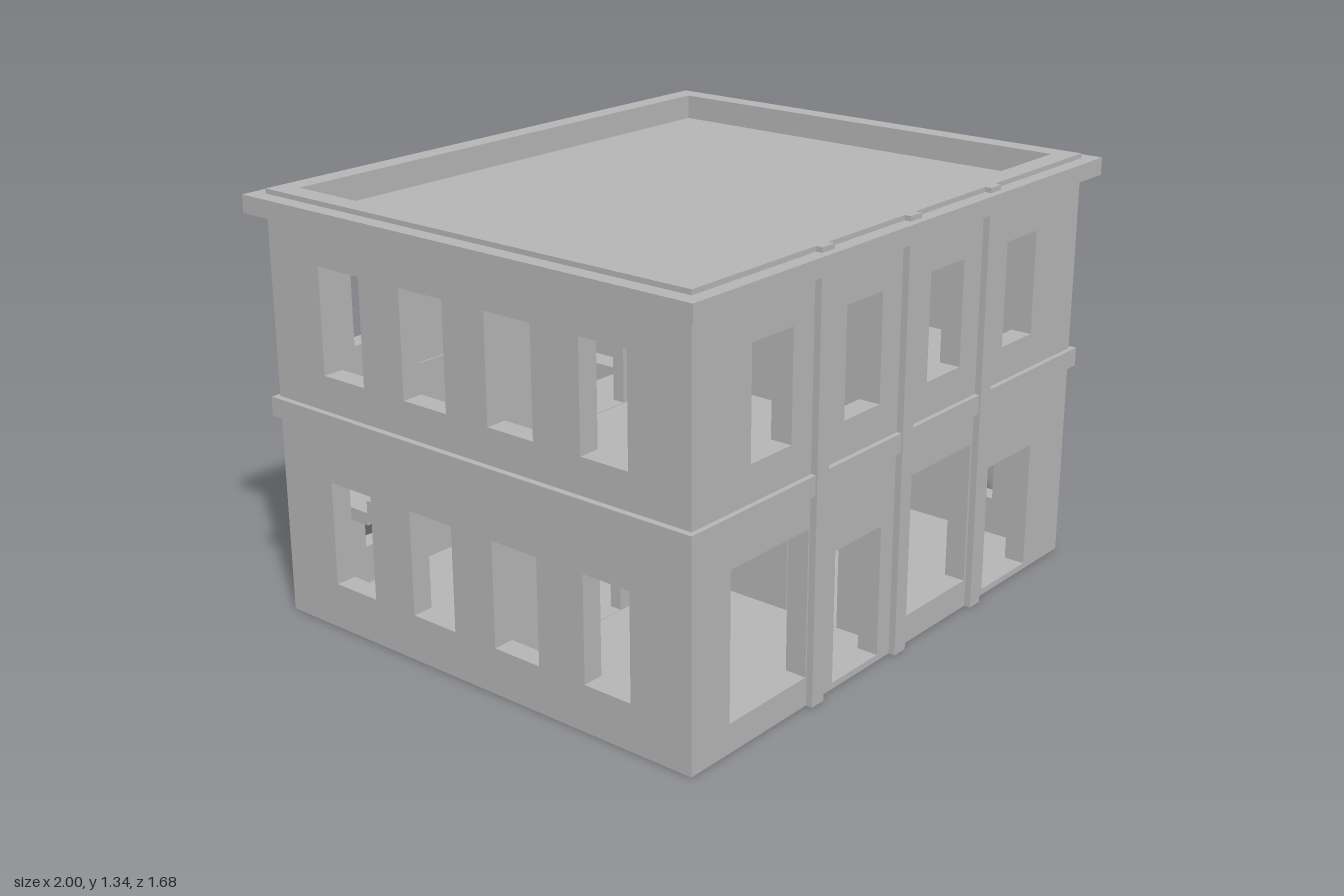
import * as THREE from 'three';

export function createModel() {
  const group = new THREE.Group();
  const plaster = new THREE.MeshStandardMaterial({ color: 0xb4b4b4 });
  plaster.name = 'plaster grey';

  const W = 0.95, D = 0.795, T = 0.068, TOP = 1.335; // half width, half depth, wall thickness, height
  const IX = W - T, IZ = D - T;
  const FLOOR = 0.02, UPPER = 0.69;

  const add = (name, geo, x = 0, y = 0, z = 0) => {
    const mesh = new THREE.Mesh(geo, plaster);
    mesh.name = name;
    mesh.position.set(x, y, z);
    group.add(mesh);
    return mesh;
  };
  // box given by its limits
  const block = (name, x0, x1, y0, y1, z0, z1) =>
    add(name, new THREE.BoxGeometry(x1 - x0, y1 - y0, z1 - z0), (x0 + x1) / 2, (y0 + y1) / 2, (z0 + z1) / 2);
  const trace = (path, [a, b, c, d]) => {
    path.moveTo(a, c); path.lineTo(b, c); path.lineTo(b, d); path.lineTo(a, d); path.closePath();
    return path;
  };
  // rectangle [u0, u1, v0, v1] with rectangular holes, extruded
  const panel = (outline, holes, depth) => {
    const shape = trace(new THREE.Shape(), outline);
    holes.forEach(h => shape.holes.push(trace(new THREE.Path(), h)));
    return new THREE.ExtrudeGeometry(shape, { depth, bevelEnabled: false });
  };
  const sideways = geo => geo.rotateY(-Math.PI / 2);              // u runs along z, depth along -x
  const flat = geo => geo.rotateX(Math.PI / 2);                   // v runs along z, depth along -y

  // outer walls with window and door openings
  const low = [0.145, 0.475], high = [0.81, 1.14], door = [FLOOR, 0.43];
  const bays = [[-0.71, -0.535], [-0.295, -0.125], [0.115, 0.29], [0.53, 0.70]];
  const upperWindows = bays.map(b => [...b, ...high]);
  const shopFront = [
    [-0.79, -0.45, 0.09, 0.54], [-0.32, -0.095, ...door],
    [0.03, 0.375, 0.09, 0.54], [0.485, 0.74, ...door],
  ];
  const backGround = [...bays.slice(0, 3).map(b => [...b, ...low]), [0.515, 0.72, ...door]];
  add('frontWall', panel([-W, W, 0, TOP], [...shopFront, ...upperWindows], T), 0, 0, IZ);
  add('backWall', panel([-W, W, 0, TOP], [...backGround, ...upperWindows], T), 0, 0, -D);

  const sideBays = [[-0.585, -0.415], [-0.25, -0.08], [0.08, 0.25], [0.42, 0.585]];
  const sideHoles = sideBays.flatMap(b => [[...b, ...low], [...b, ...high]]);
  for (const [name, x] of [['leftWall', W], ['rightWall', -IX]])
    add(name, sideways(panel([-IZ, IZ, 0, TOP], sideHoles, T)), x);

  // floors and sunken roof
  block('groundSlab', -IX, IX, 0, FLOOR, -IZ, IZ);
  const stairwell = [-0.875, -0.1, -0.72, -0.18];
  add('upperFloor', flat(panel([-IX, IX, -IZ, IZ], [stairwell], 0.05)), 0, UPPER, 0);
  block('roofDeck', -IX, IX, 1.2, 1.255, -IZ, IZ);

  // cornice and storey band wrapped round the walls
  const ring = (name, x, z, y0, y1) =>
    add(name, flat(panel([-x, x, -z, z], [[-W, W, -D, D]], y1 - y0)), 0, y1, 0);
  ring('cornice', 1, 0.84, 1.265, 1.32);
  ring('storeyBand', 0.97, 0.811, 0.64, 0.70);

  // front pilasters
  for (const x of [-0.417, -0.005, 0.412])
    block('pilaster', x - 0.027, x + 0.027, 0, TOP, D - 0.01, 0.816);

  // inner partitions with doorways on each storey
  for (const [y0, y1, doors] of [
    [FLOOR, UPPER - 0.05, [[-0.535, -0.35], [0.07, 0.26]]],
    [UPPER, 1.2, [[-0.51, -0.325], [0.11, 0.295], [0.545, 0.73]]],
  ]) {
    const head = y0 + 0.36, sill = y0 + 0.002;
    add('crossPartition', panel([-IX, IX, y0, y1], doors.map(d => [...d, sill, head]), 0.04), 0, 0, -0.02);
    add('frontPartition', sideways(panel([0.02, IZ, y0, y1], [[0.41, 0.6, sill, head]], 0.04)), 0.015);
    add('rearPartition', sideways(panel([-IZ, -0.02, y0, y1], [], 0.04)), 0.015);
  }

  // stair: up to a rear landing, then back towards the front
  const LAND = 0.37, STEPS = 8, zBack = -0.52, run = 0.34 / STEPS;
  block('stairLanding', -0.875, -0.1, 0.33, LAND, -IZ, zBack);
  for (let i = 0; i < STEPS; i++) {
    const z = zBack + i * run;
    const yDown = LAND - (i + 1) * (LAND - FLOOR) / (STEPS + 1);
    const yUp = LAND + (i + 1) * (UPPER - LAND) / STEPS;
    block('lowerStep', -0.44, -0.1, Math.max(FLOOR, yDown - 0.07), yDown, z, z + run);
    block('upperStep', -0.875, -0.46, yUp - 0.07, yUp, z, z + run);
  }
  return group;
}
